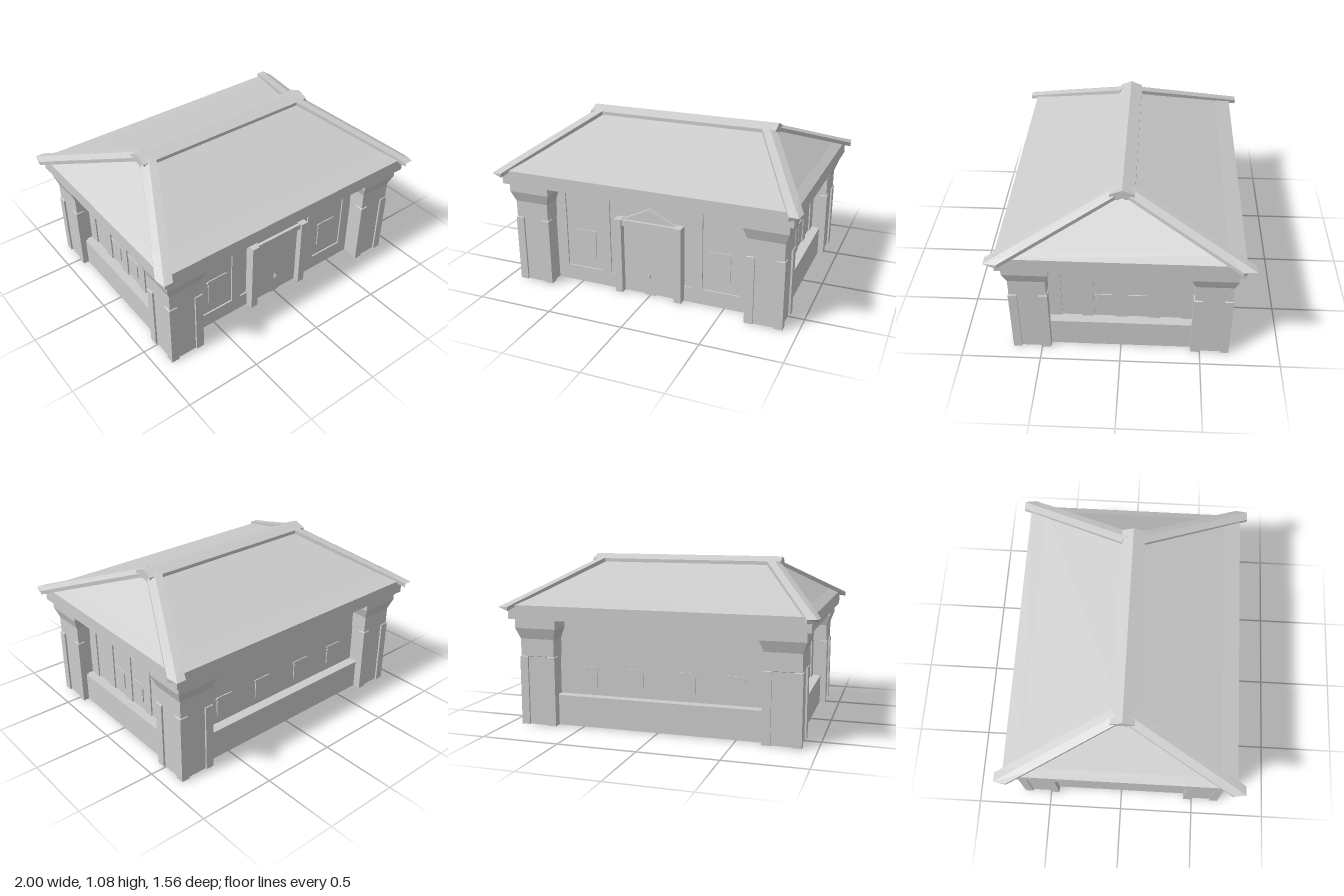
import * as THREE from 'three';

const mat = new THREE.MeshStandardMaterial({ color: 0xcccccc, flatShading: true });
const openMat = new THREE.MeshStandardMaterial({ color: 0xcccccc, flatShading: true, side: THREE.DoubleSide });

export function createModel() {
  const root = new THREE.Group();

  function add(name, geo, parent = root, material = mat) {
    const mesh = new THREE.Mesh(geo, material);
    mesh.name = name;
    parent.add(mesh);
    return mesh;
  }

  // Box given by its limits on each axis
  function box(name, x0, x1, y0, y1, z0, z1, parent = root) {
    const g = new THREE.BoxGeometry(x1 - x0, y1 - y0, z1 - z0);
    g.translate((x0 + x1) / 2, (y0 + y1) / 2, (z0 + z1) / 2);
    return add(name, g, parent);
  }

  // Flat outline pushed along z
  function slab(points, depth) {
    const shape = new THREE.Shape(points.map(([x, y]) => new THREE.Vector2(x, y)));
    return new THREE.ExtrudeGeometry(shape, { depth, bevelEnabled: false });
  }

  // Skin over equal-length closed rings, optionally capped at both ends
  function loft(rings, caps) {
    const pos = [], n = rings[0].length;
    const tri = (a, b, c) => pos.push(...a, ...b, ...c);
    for (let i = 0; i < rings.length - 1; i++) {
      for (let j = 0; j < n; j++) {
        const k = (j + 1) % n, a = rings[i], b = rings[i + 1];
        tri(a[j], a[k], b[k]);
        tri(a[j], b[k], b[j]);
      }
    }
    if (caps) {
      const end = rings[rings.length - 1];
      for (let j = 1; j < n - 1; j++) {
        tri(rings[0][0], rings[0][j + 1], rings[0][j]);
        tri(end[0], end[j], end[j + 1]);
      }
    }
    const g = new THREE.BufferGeometry();
    g.setAttribute('position', new THREE.Float32BufferAttribute(pos, 3));
    g.computeVertexNormals();
    return g;
  }

  const rect = (x, z, y) => [[-x, y, z], [x, y, z], [x, y, -z], [-x, y, -z]];

  // Square pillar section with a niche of the given depth in each face
  function pillarRing(half, niche, y) {
    const side = [[-half, half], [-0.066, half], [-0.066, half - niche],
      [0.066, half - niche], [0.066, half]];
    const ring = [];
    for (let q = 0; q < 4; q++) {
      const c = Math.cos(q * Math.PI / 2), s = Math.sin(q * Math.PI / 2);
      for (const [x, z] of side) ring.push([x * c + z * s, y, z * c - x * s]);
    }
    return ring;
  }

  // Eave band and hipped roof with a slight kick at the eaves
  box('eaveBand', -0.955, 0.955, 0.695, 0.785, -0.73, 0.73);
  add('roof', loft([
    rect(0.955, 0.73, 0.785), rect(0.9, 0.62, 0.82), rect(0.6, 0, 1.05),
  ]), root, openMat);

  // Ridge cap with a chevron section
  const ridge = slab([[-0.075, 1.0], [-0.04, 1.0], [0, 1.02], [0.04, 1.0], [0.075, 1.0],
    [0.075, 1.045], [0, 1.075], [-0.075, 1.045]], 1.31);
  ridge.translate(0, 0, -0.655);
  ridge.rotateY(Math.PI / 2);
  add('ridgeCap', ridge);

  // Hip beams: path of the crest and five-sided section, tips squared to the eaves
  const hipPath = [[0.6, 1.06, 0.04, 0], [0.898, 0.842, 0.61, 0], [0.966, 0.79, 0.742, 0.03]];
  const hipSection = [[0.038, -0.038], [0.038, -0.012], [0, 0], [-0.038, -0.012], [-0.038, -0.038]];
  const pillarProfile = [[0.12, 0.012, 0.005], [0.12, 0.012, 0.45], [0.114, 0, 0.453],
    [0.114, 0, 0.565], [0.139, 0, 0.635], [0.139, 0, 0.695]];
  for (const sx of [-1, 1]) {
    for (const sz of [-1, 1]) {
      const rings = hipPath.map(([x, y, z, tip]) => hipSection.map(([w, h]) => {
        const reach = w === 0 ? tip : 0;
        return [sx * (x + w * 0.9 + reach * 0.8), y + h - reach * 0.4, sz * (z - w + reach * 1.3)];
      }));
      if (sx * sz < 0) rings.forEach((r) => r.reverse());
      add('hipBeam', loft(rings, true), root, openMat);

      const pillar = loft(pillarProfile.map((p) => pillarRing(...p)));
      add('cornerPillar', pillar, root, openMat).position.set(sx * 0.787, 0, sz * 0.562);
    }
  }

  // Window plate: straight sides, pinched neck and flared top corners
  function windowPlate(w, h) {
    const half = w / 2;
    const right = [[half - 0.008, 0], [half - 0.008, h * 0.78], [half - 0.014, h * 0.84],
      [half, h * 0.9], [half, h * 0.96], [half - 0.01, h]];
    const left = right.map(([x, y]) => [-x, y]).reverse();
    return slab([...right, ...left], 0.007);
  }

  // Thin wall facing +z with a stepped, hollow base in front
  function steppedWall(name, half, front, turn) {
    const wall = new THREE.Group();
    wall.name = name;
    wall.rotation.y = turn;
    root.add(wall);
    box('upperWall', -half, half, 0, 0.7, front - 0.01, front, wall);
    box('baseFace', -half, half, 0.005, 0.2, front + 0.057, front + 0.065, wall);
    box('baseLedge', -half, half, 0.192, 0.2, front, front + 0.06, wall);
    return wall;
  }

  // Front wall: thin sheet with piers and a low base standing just proud
  box('frontWall', -0.8, 0.8, 0, 0.7, 0.54, 0.55);
  box('frontBase', -0.7, 0.7, 0, 0.105, 0.55, 0.56);
  for (const s of [-1, 1]) {
    for (const [a, b] of [[0.285, 0.352], [0.603, 0.7]]) {
      box('frontPier', Math.min(s * a, s * b), Math.max(s * a, s * b), 0.105, 0.695, 0.55, 0.56);
    }
    add('frontWindow', windowPlate(0.16, 0.185)).position.set(s * 0.465, 0.19, 0.55);
  }

  // Back wall
  const back = steppedWall('backWall', 0.7, 0.565, Math.PI);
  for (const x of [-0.485, -0.17, 0.17, 0.485]) {
    add('backWindow', windowPlate(0.135, 0.13), back).position.set(x, 0.255, 0.565);
  }

  // Side walls with shallow piers
  for (const s of [-1, 1]) {
    const wall = steppedWall(s > 0 ? 'leftWall' : 'rightWall', 0.48, 0.802, s * Math.PI / 2);
    for (const [a, b] of [[-0.46, -0.372], [-0.245, -0.17], [-0.035, 0.035], [0.17, 0.245], [0.372, 0.46]]) {
      box('sidePier', a, b, 0.2, 0.695, 0.802, 0.811, wall);
    }
    for (const z of [-0.103, 0.103]) {
      add('sideWindow', windowPlate(0.12, 0.13), wall).position.set(z, 0.255, 0.802);
    }
  }

  // Doorway: leaf, jambs, lintel and pediment
  const door = new THREE.Group();
  door.name = 'doorway';
  root.add(door);
  box('doorLeaf', -0.18, 0.18, 0.01, 0.475, 0.55, 0.572, door);
  box('doorStep', -0.035, 0.035, 0, 0.01, 0.55, 0.572, door);
  for (const s of [-1, 1]) {
    box('doorJamb', s * 0.204 - 0.025, s * 0.204 + 0.025, 0.005, 0.515, 0.55, 0.615, door);
  }
  box('doorLintel', -0.18, 0.18, 0.472, 0.512, 0.55, 0.6, door);
  add('pediment', slab([[-0.18, 0.51], [0.18, 0.51], [0, 0.6]], 0.03), door).position.z = 0.55;

  // Door handle
  box('handlePlate', -0.007, 0.007, 0.12, 0.155, 0.572, 0.58, door);
  const knob = add('handleKnob', new THREE.SphereGeometry(0.007, 8, 6), door);
  knob.position.set(0, 0.142, 0.584);

  return root;
}
